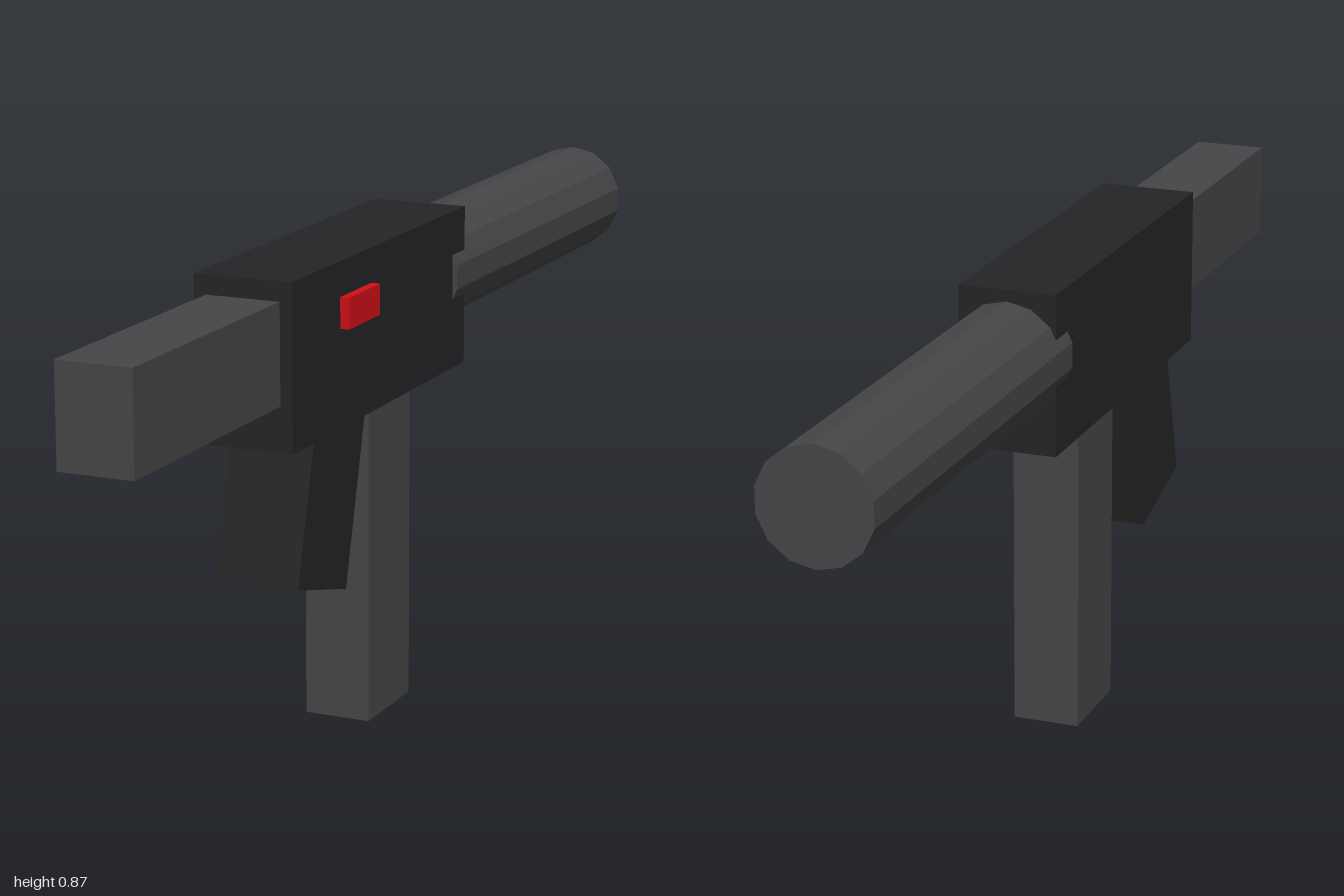
import * as THREE from 'three';

const CX = -0.005; // the side button offsets the main line from the middle

export function createModel() {
  const group = new THREE.Group();
  const mat = (color) => new THREE.MeshStandardMaterial({ color, flatShading: true });
  const dark = mat(0x252527);
  const grey = mat(0x464648);
  const red = mat(0xd01018);

  const add = (name, geometry, material, x, y, z) => {
    const mesh = new THREE.Mesh(geometry, material);
    mesh.name = name;
    mesh.position.set(x, y, z);
    group.add(mesh);
    return mesh;
  };

  // Box given by its width and its y and z ranges
  const block = (name, material, x, width, [y0, y1], [z0, z1]) =>
    add(name, new THREE.BoxGeometry(width, y1 - y0, z1 - z0), material, x, (y0 + y1) / 2, (z0 + z1) / 2);

  block('body', dark, CX, 0.177, [0.58, 0.867], [-0.22, 0.5]);
  block('stock', grey, CX, 0.133, [0.659, 0.833], [0.45, 1]);
  block('magazine', grey, CX, 0.122, [0, 0.62], [-0.037, 0.14]);
  block('sideButton', red, 0.085, 0.03, [0.752, 0.806], [0.19, 0.315]);

  // Slanted grip, its top sunk into the body
  const grip = add('grip', new THREE.BoxGeometry(0.154, 0.36, 0.197), dark, CX, 0.484, 0.318);
  grip.rotation.x = -Math.PI / 12;

  // Faceted barrel, pointing to the back
  const barrel = add('barrel', new THREE.CylinderGeometry(0.1, 0.1, 0.835, 14), grey, CX, 0.747, -0.5825);
  barrel.rotation.x = Math.PI / 2;

  return group;
}
